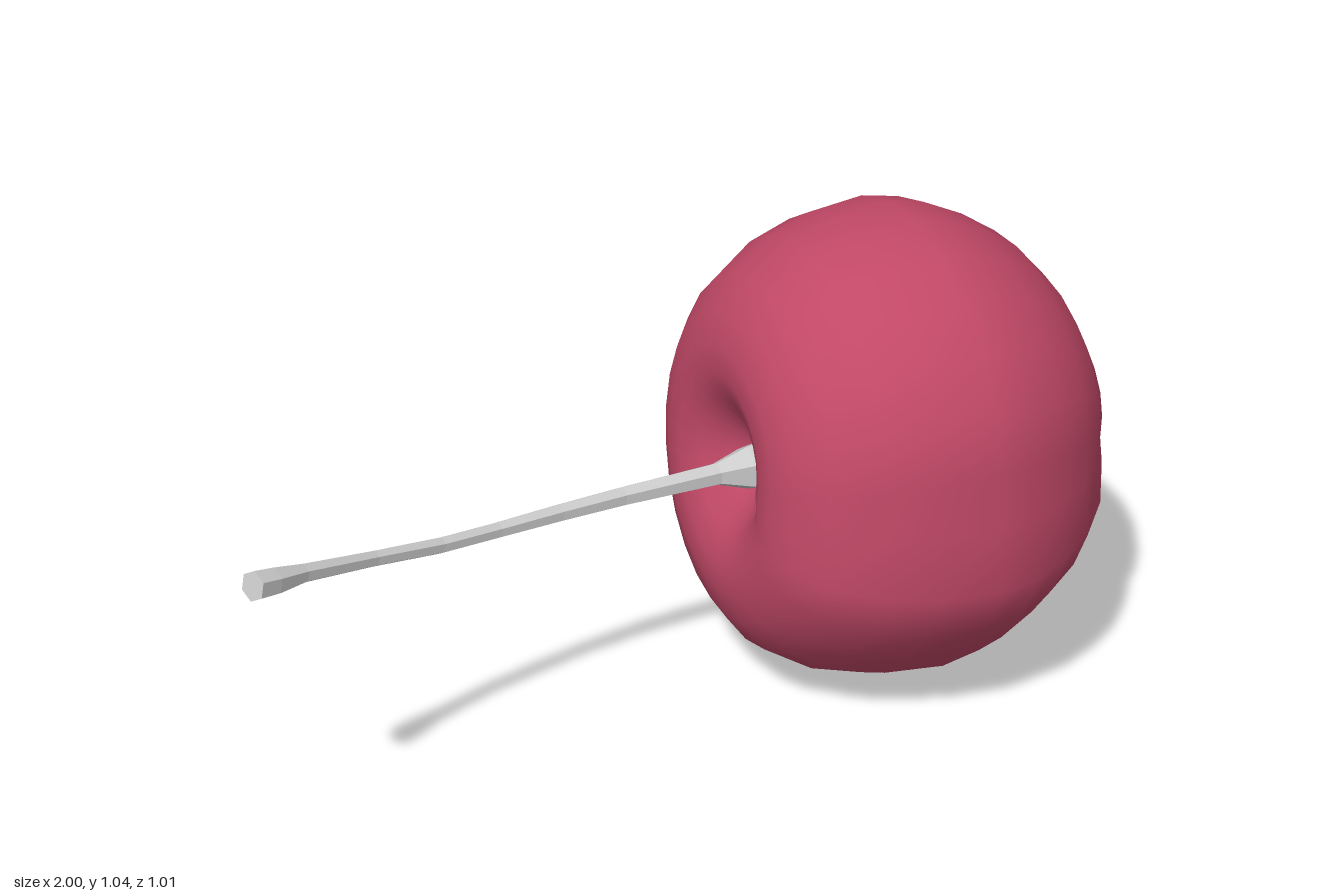
import * as THREE from 'three';
import { mergeVertices } from 'three/addons/utils/BufferGeometryUtils.js';

const CENTRE_Y = 0.53;

// Fruit: a lathe laid along x, then squeezed, tilted and creased along its front
function makeFruit() {
  const profile = [
    [0, 0.25], [0.04, 0.24], [0.09, 0.2], [0.15, 0.15], [0.21, 0.128], [0.27, 0.128], [0.34, 0.15],
    [0.41, 0.2], [0.475, 0.3], [0.51, 0.41], [0.525, 0.54], [0.51, 0.63], [0.47, 0.72],
    [0.42, 0.8], [0.335, 0.88], [0.22, 0.95], [0.12, 0.985], [0.05, 0.998], [0, 0.993],
  ].map(([r, x]) => new THREE.Vector2(r, x));
  const lathe = new THREE.LatheGeometry(profile, 26, -Math.PI / 2);
  lathe.deleteAttribute('uv');
  lathe.deleteAttribute('normal');
  const pos = lathe.attributes.position;
  const bump = (a, mid, width) => Math.exp(-(((a - mid) / width) ** 2));
  for (let i = 0; i < pos.count; i++) {
    const x = pos.getY(i), y = pos.getZ(i), z = pos.getX(i) * 0.955;
    const a = Math.atan2(y, z);
    const swell = 1 - 0.068 * bump(a, 0.06, 0.17) + 0.05 * bump(a, -0.3, 0.22);
    const tilt = 0.03 * y * THREE.MathUtils.clamp((0.6 - x) / 0.4, 0, 1) * 2;
    pos.setXYZ(i, x + tilt, CENTRE_Y + y * swell, z * swell);
  }
  const geometry = mergeVertices(lathe, 1e-4);
  geometry.computeVertexNormals();
  return geometry;
}

// Stem: a six-sided rod bent along a path, flared at both ends
function makeStem() {
  // x, y, z, radius
  const stations = [
    [0.25, 0.525, 0.01, 0.06], [0.19, 0.525, 0.01, 0.05], [0.12, 0.525, 0.01, 0.026],
    [-0.1, 0.522, 0.016, 0.022], [-0.25, 0.526, 0.036, 0.02], [-0.4, 0.536, 0.07, 0.018],
    [-0.54, 0.555, 0.115, 0.018], [-0.7, 0.594, 0.178, 0.017], [-0.87, 0.644, 0.262, 0.02],
    [-0.94, 0.662, 0.3, 0.029], [-0.984, 0.674, 0.322, 0.031],
  ];
  const n = stations.length - 1;
  const centres = stations.map(([x, y, z]) => new THREE.Vector3(x, y, z));
  const frames = centres.map((_, k) => {
    const t = centres[Math.min(k + 1, n)].clone().sub(centres[Math.max(k - 1, 0)]).normalize();
    const u = new THREE.Vector3(0, 1, 0).cross(t).normalize();
    return { u, v: u.clone().cross(t) };
  });
  const geometry = new THREE.CylinderGeometry(1, 1, 1, 6, n);
  const pos = geometry.attributes.position;
  for (let i = 0; i < pos.count; i++) {
    const k = Math.round((pos.getY(i) + 0.5) * n);
    const r = stations[k][3];
    const p = centres[k].clone()
      .addScaledVector(frames[k].u, pos.getX(i) * r)
      .addScaledVector(frames[k].v, pos.getZ(i) * r);
    pos.setXYZ(i, p.x, p.y, p.z);
  }
  geometry.computeVertexNormals();
  return geometry;
}

export function createModel() {
  const group = new THREE.Group();
  group.name = 'cherry';

  const fruit = new THREE.Mesh(makeFruit(), new THREE.MeshStandardMaterial({ color: 0xc04866 }));
  fruit.name = 'fruit';

  const stem = new THREE.Mesh(makeStem(), new THREE.MeshStandardMaterial({ color: 0xcccccc, flatShading: true }));
  stem.name = 'stem';

  group.add(fruit, stem);
  return group;
}
